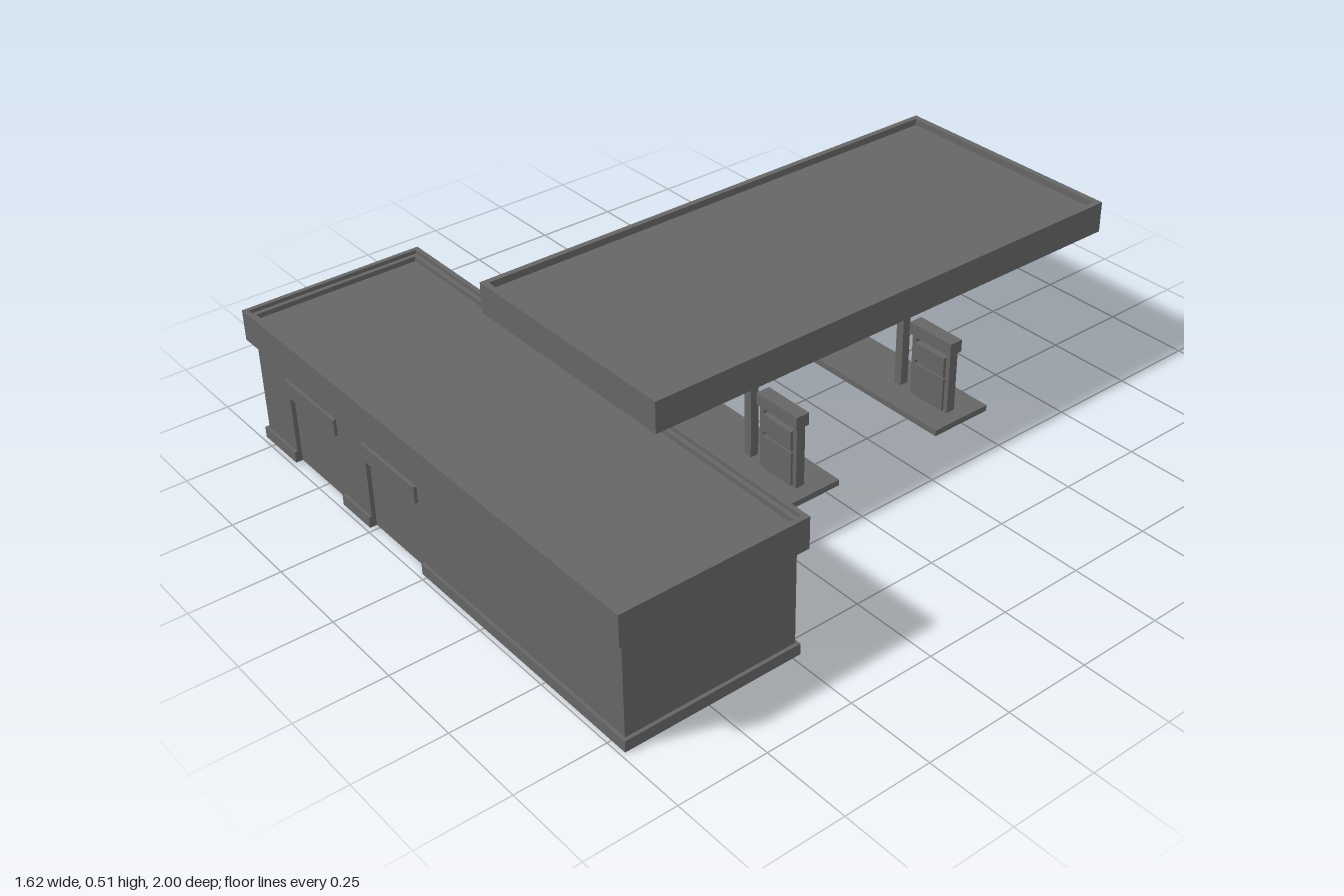
import * as THREE from 'three';

const mat = new THREE.MeshStandardMaterial({ color: 0x666666 });

// Box given by its limits on each axis
function box(parent, name, x0, x1, y0, y1, z0, z1) {
  const mesh = new THREE.Mesh(new THREE.BoxGeometry(x1 - x0, y1 - y0, z1 - z0), mat);
  mesh.position.set((x0 + x1) / 2, (y0 + y1) / 2, (z0 + z1) / 2);
  mesh.name = name;
  parent.add(mesh);
}

const rect = (C, x0, x1, y0, y1) => new C([
  new THREE.Vector2(x0, y0), new THREE.Vector2(x1, y0),
  new THREE.Vector2(x1, y1), new THREE.Vector2(x0, y1),
]);

function extrude(parent, name, shape, depth) {
  const mesh = new THREE.Mesh(new THREE.ExtrudeGeometry(shape, { depth, bevelEnabled: false }), mat);
  mesh.name = name;
  parent.add(mesh);
  return mesh;
}

// Horizontal rectangular ring
function ring(parent, name, hx, z0, z1, y0, y1, width) {
  const shape = rect(THREE.Shape, -hx, hx, -z1, -z0);
  shape.holes.push(rect(THREE.Path, -hx + width, hx - width, -z1 + width, -z0 - width));
  const mesh = extrude(parent, name, shape, y1 - y0);
  mesh.rotation.x = -Math.PI / 2;
  mesh.position.y = y0;
}

// Flat roof: raised rim around a thinner slab
function flatRoof(parent, name, hx, z0, z1, y0, y1, rim, slab0, slab1) {
  const roof = new THREE.Group();
  roof.name = name;
  ring(roof, 'fascia', hx, z0, z1, y0, y1, rim);
  box(roof, 'roofSlab', -hx + rim, hx - rim, slab0, slab1, z0 + rim, z1 - rim);
  parent.add(roof);
  return roof;
}

function createShop() {
  const shop = new THREE.Group();
  shop.name = 'shop';
  const X = 0.79, Z0 = 0.485, Z1 = 0.98, T = 0.012, H = 0.33;

  // Front wall with two shutter openings
  const doors = [[-0.64, -0.395], [-0.265, -0.02]];
  const front = new THREE.Shape();
  front.moveTo(-X, 0);
  for (const [a, b] of doors) {
    front.lineTo(a, 0);
    front.lineTo(a, 0.26);
    front.lineTo(b, 0.26);
    front.lineTo(b, 0);
  }
  front.lineTo(X, 0);
  front.lineTo(X, H);
  front.lineTo(-X, H);
  extrude(shop, 'frontWall', front, T).position.z = Z1 - T;
  for (const [a, b] of doors) {
    box(shop, 'shutter', a, b, 0, 0.26, Z1 - 0.024, Z1 - T);
    box(shop, 'shutterHousing', a, b, 0.212, 0.26, Z1 - 0.035, Z1 + 0.009);
  }

  // Back wall with four windows and a central entrance
  const back = new THREE.Shape();
  [[-X, 0], [-0.13, 0], [-0.13, 0.27], [0.13, 0.27], [0.13, 0], [X, 0], [X, H], [-X, H]]
    .forEach(([x, y], i) => (i ? back.lineTo(x, y) : back.moveTo(x, y)));
  const windows = [[-0.74, -0.46], [-0.43, -0.16], [0.16, 0.43], [0.46, 0.74]];
  for (const [a, b] of windows) back.holes.push(rect(THREE.Path, a, b, 0.07, 0.27));
  extrude(shop, 'backWall', back, T).position.z = Z0;
  for (const [a, b] of windows) box(shop, 'windowPane', a, b, 0.07, 0.27, Z0 + T, Z0 + 0.02);
  box(shop, 'entrancePane', -0.13, 0.13, 0, 0.27, Z0 + T, Z0 + 0.02);
  box(shop, 'entranceMullion', -0.008, 0.008, 0, 0.27, Z0 + 0.002, Z0 + T);

  // Side walls and plinth, broken at the openings
  for (const s of [-1, 1]) {
    const [a, b] = s < 0 ? [-X, -X + T] : [X - T, X];
    box(shop, 'sideWall', a, b, 0, H, Z0 + T, Z1 - T);
    const [c, d] = s < 0 ? [-X - 0.01, -X] : [X, X + 0.01];
    box(shop, 'sidePlinth', c, d, 0, 0.032, Z0 - 0.008, Z1 + 0.008);
  }
  for (const [a, b] of [[-X, -0.64], [-0.395, -0.265], [-0.02, X]])
    box(shop, 'frontPlinth', a, b, 0, 0.032, Z1, Z1 + 0.008);
  for (const [a, b] of [[-X, -0.13], [0.13, X]])
    box(shop, 'backPlinth', a, b, 0, 0.032, Z0 - 0.008, Z0);

  // Roof with a stepped parapet
  const roof = flatRoof(shop, 'shopRoof', 0.81, 0.465, 1, 0.308, 0.397, 0.013, 0.308, 0.372);
  ring(roof, 'parapetStep', 0.797, 0.478, 0.987, 0.372, 0.386, 0.013);
  return shop;
}

// Fuel pump: cabinet, display and header held by two side posts
function createPump() {
  const pump = new THREE.Group();
  pump.name = 'fuelPump';
  box(pump, 'cabinet', -0.055, 0.055, 0.018, 0.12, -0.018, 0.018);
  box(pump, 'cabinetNeck', -0.05, 0.05, 0.12, 0.135, -0.013, 0.013);
  box(pump, 'display', -0.055, 0.055, 0.135, 0.187, -0.02, 0.02);
  box(pump, 'header', -0.078, 0.078, 0.205, 0.242, -0.021, 0.021);
  for (const s of [-1, 1])
    box(pump, 'sidePost', s * 0.065 - 0.007, s * 0.065 + 0.007, 0.018, 0.205, -0.014, 0.014);
  return pump;
}

export function createModel() {
  const model = new THREE.Group();
  model.name = 'fuelStation';
  model.add(createShop());

  // Canopy over the forecourt
  flatRoof(model, 'canopy', 0.363, -1, 0.55, 0.422, 0.512, 0.017, 0.436, 0.492);

  // Two islands, each with two columns and two pumps
  for (const z of [0.052, -0.498]) {
    const island = new THREE.Group();
    island.name = 'pumpIsland';
    island.position.z = z;
    box(island, 'kerb', -0.361, 0.361, 0, 0.018, -0.098, 0.098);
    for (const s of [-1, 1]) {
      box(island, 'column', s * 0.123 - 0.013, s * 0.123 + 0.013, 0.018, 0.437, -0.013, 0.013);
      const pump = createPump();
      pump.position.x = s * 0.246;
      island.add(pump);
    }
    model.add(island);
  }
  return model;
}
